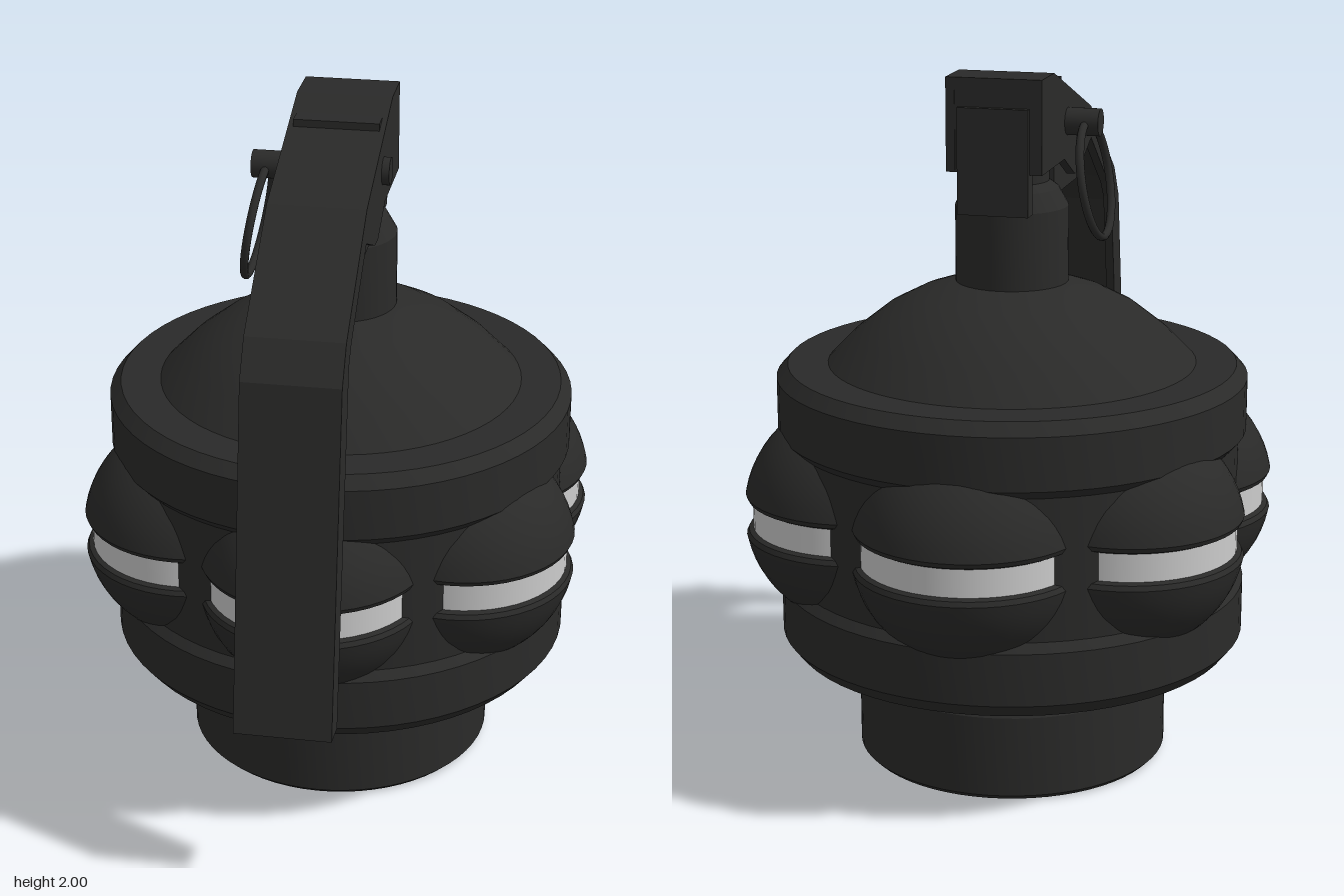
import * as THREE from 'three';
import { toCreasedNormals } from 'three/addons/utils/BufferGeometryUtils.js';

const dark = new THREE.MeshStandardMaterial({ color: 0x2a2a29 });
const pale = new THREE.MeshStandardMaterial({ color: 0xcccccc });
const AXIS_Z = -0.086; // body axis sits slightly behind the centre

function add(parent, name, geometry, material = dark) {
  const mesh = new THREE.Mesh(geometry, material);
  mesh.name = name;
  parent.add(mesh);
  return mesh;
}

const vecs = (points) => points.map(([x, y]) => new THREE.Vector2(x, y));

function lathe(points, segments = 64) {
  return toCreasedNormals(new THREE.LatheGeometry(vecs(points), segments), 0.35);
}

// Side profile given as [z, y], extruded along x and centred on x
function sideExtrude(points, width, x = 0) {
  const g = new THREE.ExtrudeGeometry(new THREE.Shape(vecs(points)), { depth: width, bevelEnabled: false });
  g.translate(0, 0, -width / 2);
  g.rotateY(-Math.PI / 2);
  g.translate(x, 0, 0);
  return g;
}

// Box from its extents in y and z, centred on x
function block(width, y0, y1, z0, z1) {
  return new THREE.BoxGeometry(width, y1 - y0, z1 - z0).translate(0, (y0 + y1) / 2, (z0 + z1) / 2);
}

function createBody() {
  const body = new THREE.Group();
  body.name = 'body';
  body.position.z = AXIS_Z;
  add(body, 'base', lathe([
    [0, 0], [0.435, 0], [0.45, 0.015], [0.45, 0.25], [0.44, 0.265], [0.41, 0.265],
    [0.41, 0.29], [0.475, 0.29], [0.52, 0.34],
  ]));
  add(body, 'drum', lathe([
    [0.5, 0.34], [0.64, 0.34], [0.672, 0.38], [0.672, 0.53], [0.65, 0.555],
    [0.65, 0.96], [0.672, 0.985], [0.672, 1.135], [0.64, 1.17], [0.525, 1.17],
  ]));
  add(body, 'dome', lathe([
    [0.53, 1.165], [0.45, 1.247], [0.36, 1.318], [0.27, 1.365], [0.16, 1.403], [0, 1.42],
  ]));
  add(body, 'neck', lathe([
    [0.16, 1.38], [0.16, 1.62], [0.132, 1.67], [0.105, 1.69], [0.105, 1.8], [0, 1.8],
  ], 40));
  return body;
}

// Six round pods, each two caps around a pale band
function createPods() {
  const pods = new THREE.Group();
  pods.name = 'pods';
  pods.position.set(0, 0.757, AXIS_Z);
  const r = 0.33, start = Math.asin(0.06 / r), steps = 14;
  const profile = [[0.27, 0.04], [0.306, 0.04], [0.318, 0.046]];
  for (let i = 0; i <= steps; i++) {
    const a = start + (Math.PI / 2 - start) * i / steps;
    profile.push([i === steps ? 0 : r * Math.cos(a), r * Math.sin(a)]);
  }
  const upper = lathe(profile, 48);
  const lower = lathe(profile.map(([x, y]) => [x, -y]).reverse(), 48);
  const band = new THREE.CylinderGeometry(0.305, 0.305, 0.09, 48, 1, true);
  for (let i = 0; i < 6; i++) {
    const a = i * Math.PI / 3;
    const pod = new THREE.Group();
    pod.name = 'pod';
    pod.position.set(0.45 * Math.sin(a), 0, 0.45 * Math.cos(a));
    add(pod, 'upperCap', upper);
    add(pod, 'lowerCap', lower);
    add(pod, 'band', band, pale);
    pods.add(pod);
  }
  return pods;
}

function createLever() {
  const lever = new THREE.Group();
  lever.name = 'lever';
  const outer = [[0.872, 0.53], [0.705, 1.5], [0.64, 1.6], [0.31, 1.84], [-0.145, 2], [-0.283, 2]];
  const webInner = [[-0.283, 1.965], [-0.14, 1.965], [0.295, 1.808], [0.615, 1.575], [0.672, 1.49], [0.838, 0.525]];
  const flangeInner = [
    [-0.283, 1.74], [-0.02, 1.74], [0.11, 1.675], [0.165, 1.68], [0.315, 1.745],
    [0.56, 1.565], [0.6, 1.515], [0.78, 0.545], [0.785, 0.52],
  ];
  add(lever, 'leverWeb', sideExtrude([...outer, ...webInner], 0.268));
  for (const side of [-1, 1]) {
    add(lever, 'leverFlange', sideExtrude([...outer, ...flangeInner], 0.025, side * 0.1225));
  }
  return lever;
}

function createFuseHead() {
  const head = new THREE.Group();
  head.name = 'fuseHead';
  add(head, 'headCore', block(0.24, 1.74, 1.97, -0.28, 0));
  add(head, 'frontLug', block(0.2, 1.63, 1.74, 0, 0.288));
  add(head, 'backLug', block(0.2, 1.625, 1.92, -0.298, -0.245));
  return head;
}

// Cross pin with a hanging pull ring
function createPin() {
  const pin = new THREE.Group();
  pin.name = 'pin';
  pin.position.set(0, 1.842, 0.018);
  const rod = new THREE.CylinderGeometry(0.039, 0.039, 0.386, 24).rotateZ(Math.PI / 2);
  add(pin, 'pinRod', rod).position.x = -0.037;
  const ring = add(pin, 'pullRing', new THREE.TorusGeometry(0.163, 0.012, 10, 48).rotateY(Math.PI / 2));
  ring.position.set(-0.217, -0.162, 0);
  ring.rotation.z = -0.17;
  return pin;
}

export function createModel() {
  const model = new THREE.Group();
  model.name = 'grenade';
  model.add(createBody(), createPods(), createLever(), createFuseHead(), createPin());
  return model;
}
